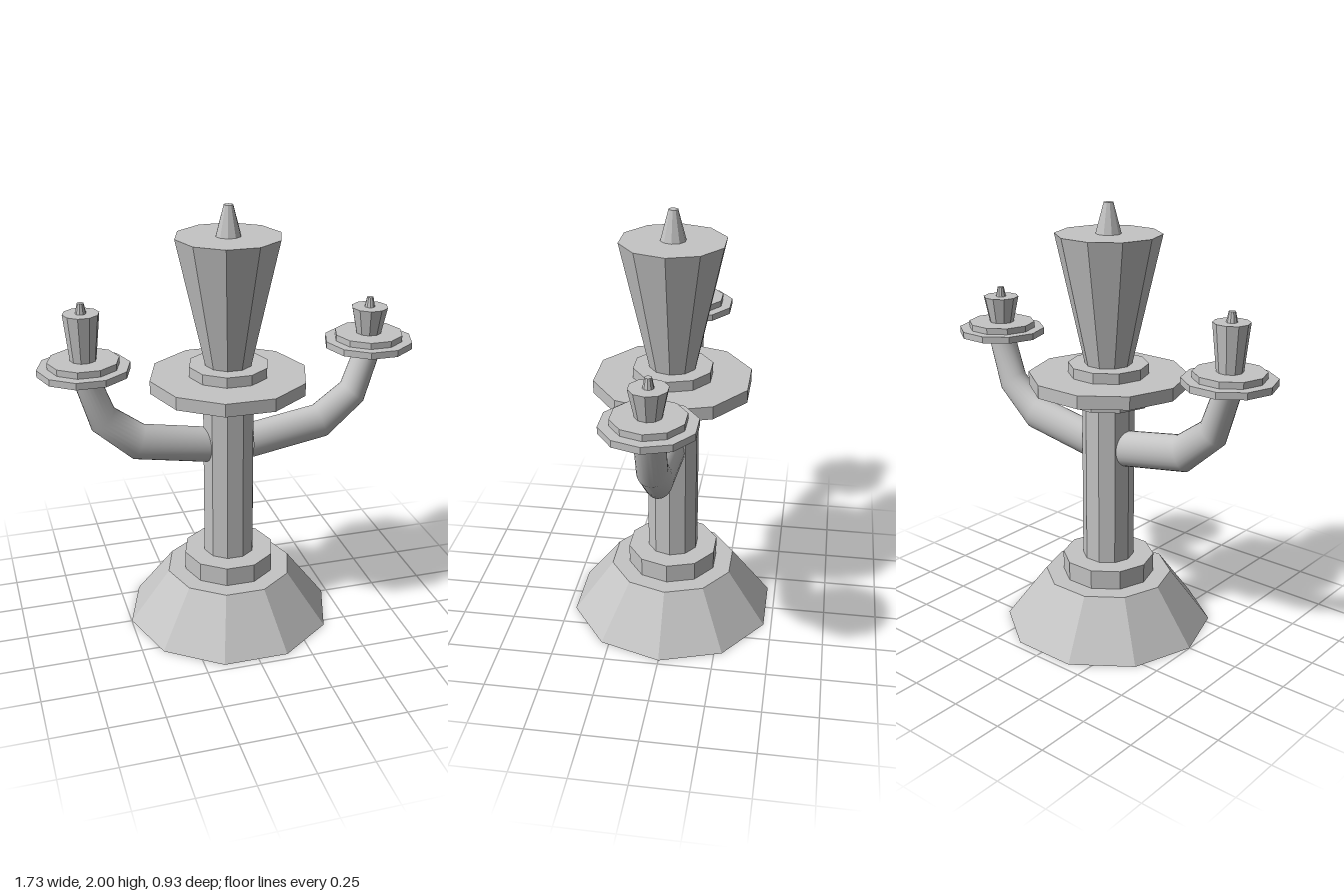
import * as THREE from 'three';

const faceted = new THREE.MeshStandardMaterial({ color: 0xc4c4c4 });
faceted.name = 'grey metal';

const SIDES = 10;

// Ten-sided flat-faced drum from y0 to y1, with a corner on the x axis
function drum(parent, name, x, y0, y1, rBottom, rTop = rBottom) {
  let geo = new THREE.CylinderGeometry(rTop, rBottom, y1 - y0, SIDES);
  geo.rotateY(Math.PI / 2);
  geo = geo.toNonIndexed();
  geo.computeVertexNormals();
  const mesh = new THREE.Mesh(geo, faceted);
  mesh.name = name;
  mesh.position.set(x, (y0 + y1) / 2, 0);
  parent.add(mesh);
}

// Arm cross-sections: outer x, outer y, inner x, inner y, half depth
const ARM = [
  [0.09, 0.805, 0.09, 0.975, 0.066],
  [0.465, 0.87, 0.403, 1.028, 0.066],
  [0.643, 1.032, 0.537, 1.125, 0.066],
  [0.725, 1.31, 0.607, 1.31, 0.066],
];

// Smooth bent arm; side is +1 or -1 along x
function arm(parent, name, side) {
  const n = 24, pos = [], index = [];
  for (const [ox, oy, ix, iy, hz] of ARM) {
    for (let j = 0; j < n; j++) {
      const a = (j / n) * Math.PI * 2, c = Math.cos(a);
      const x = (ox + ix) / 2 + ((ox - ix) / 2) * c;
      const y = (oy + iy) / 2 + ((oy - iy) / 2) * c;
      pos.push(side * x, y, -side * hz * Math.sin(a));
    }
  }
  for (let i = 0; i < ARM.length - 1; i++) {
    for (let j = 0; j < n; j++) {
      const k = (j + 1) % n;
      const a = i * n + j, b = i * n + k, c = a + n, d = b + n;
      index.push(a, b, c, b, d, c);
    }
  }
  const geo = new THREE.BufferGeometry();
  geo.setAttribute('position', new THREE.Float32BufferAttribute(pos, 3));
  geo.setIndex(index);
  geo.computeVertexNormals();
  const mesh = new THREE.Mesh(geo, faceted);
  mesh.name = name;
  parent.add(mesh);
}

// Drip dish with a small candle
function sideCandle(parent, name, x, candleTop, rTop) {
  const g = new THREE.Group();
  g.name = name;
  drum(g, 'lowerDish', x, 1.307, 1.338, 0.205);
  drum(g, 'upperDish', x, 1.338, 1.367, 0.158);
  drum(g, 'candle', x, 1.367, candleTop, 0.058, rTop);
  drum(g, 'wick', x, candleTop, candleTop + 0.045, 0.024, 0.015);
  parent.add(g);
}

export function createModel() {
  const model = new THREE.Group();
  model.name = 'candelabra';
  const cx = -0.012;

  // Foot and column
  drum(model, 'foot', cx, 0, 0.25, 0.487, 0.298);
  drum(model, 'footRing', cx, 0.25, 0.34, 0.215);
  drum(model, 'column', cx, 0.34, 1.11, 0.12);

  // Central dish and candle
  drum(model, 'collar', cx, 1.11, 1.175, 0.208);
  drum(model, 'mainDish', cx, 1.175, 1.235, 0.363);
  drum(model, 'candleRing', cx, 1.235, 1.283, 0.183);
  drum(model, 'mainCandle', cx, 1.283, 1.865, 0.108, 0.238);
  drum(model, 'mainWick', cx, 1.865, 2.0, 0.057, 0.021);

  // Arms and side candles
  arm(model, 'rightArm', -1);
  arm(model, 'leftArm', 1);
  sideCandle(model, 'rightSideCandle', -0.663, 1.576, 0.08);
  sideCandle(model, 'leftSideCandle', 0.659, 1.49, 0.084);
  return model;
}
